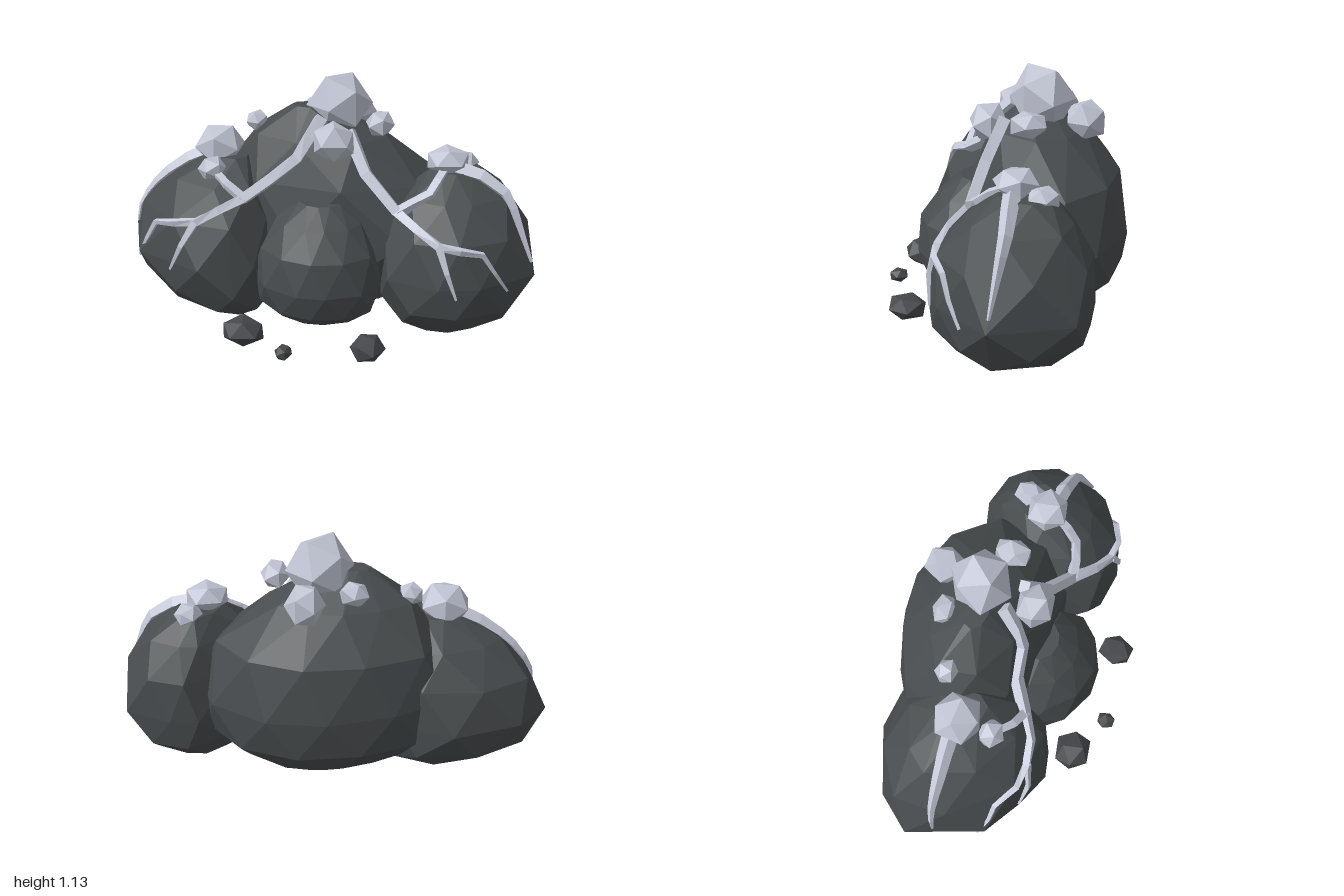
import * as THREE from 'three';
import { ConvexGeometry } from 'three/addons/geometries/ConvexGeometry.js';

const flat = (name, color) => {
  const m = new THREE.MeshStandardMaterial({ color, flatShading: true });
  m.name = name;
  return m;
};

// Boulder: a plan outline of [x, z] corners, shrunk and shifted by a rule towards its foot and its top.
// Every other level uses the middles of the outline's edges, so the facets are staggered.
function boulderGeometry({ plan, y, foot, top, crown }) {
  const corners = plan.map((p) => new THREE.Vector2(...p));
  const middles = corners.map((c, i) => c.clone().lerp(corners[(i + 1) % corners.length], 0.5));
  const mid = new THREE.Box2().setFromPoints(corners).getCenter(new THREE.Vector2());
  const waist = 0.4;
  const points = [];
  [0, 0.07, 0.2, waist, 0.66, 0.86, 1].forEach((t, i) => {
    const below = t < waist;
    const u = below ? 1 - t / waist : (t - waist) / (1 - waist);
    const scale = below ? 1 - 0.54 * u ** 3 : 1 - (1 - crown) * u ** 2.4;
    const centre = mid.clone().lerp(new THREE.Vector2(...(below ? foot : top)), u ** 2);
    for (const c of i % 2 ? corners : middles) {
      const q = c.clone().sub(mid).multiplyScalar(scale * (i % 2 ? 1 : 1.06)).add(centre);
      points.push(new THREE.Vector3(q.x, THREE.MathUtils.lerp(y[0], y[1], t), q.y));
    }
  });
  return new ConvexGeometry(points);
}

// Repeatable value in -1..1 from a direction, so shared corners move together
const hash = (v, seed) => {
  const s = Math.sin(Math.round(v.x * 100) * 12.99 + Math.round(v.y * 100) * 78.23
    + Math.round(v.z * 100) * 37.72 + seed * 4.1) * 43758.55;
  return (s - Math.floor(s)) * 2 - 1;
};

// Irregular twenty-sided gem with an edge on top, fitted to centre c and radii r
function gem(c, r, seed) {
  const geo = new THREE.IcosahedronGeometry(1, 0);
  const pos = geo.attributes.position;
  const v = new THREE.Vector3();
  for (let i = 0; i < pos.count; i++) {
    v.fromBufferAttribute(pos, i);
    v.multiplyScalar(1 + 0.06 * hash(v, seed));
    pos.setXYZ(i, v.x, v.y, v.z);
  }
  geo.rotateY(seed * 0.9);
  geo.center();
  geo.computeBoundingBox();
  const half = geo.boundingBox.max;
  geo.scale(r[0] / half.x, r[1] / half.y, r[2] / half.z);
  geo.translate(...c);
  geo.computeVertexNormals();
  return geo;
}

// Four-sided tube through points, thinning from r0 to r1
function veinGeometry(points, r0, r1) {
  const p = points.map((a) => new THREE.Vector3(...a));
  const core = new THREE.Vector3(0, 0.25, -0.15);
  const verts = [];
  const index = [];
  p.forEach((c, i) => {
    const t = p[Math.min(i + 1, p.length - 1)].clone().sub(p[Math.max(i - 1, 0)]).normalize();
    const side = t.clone().cross(c.clone().sub(core)).normalize();
    const out = side.clone().cross(t);
    const r = THREE.MathUtils.lerp(r0, r1, i / (p.length - 1));
    for (let k = 0; k < 4; k++) {
      const a = k * Math.PI / 2;
      const q = c.clone().addScaledVector(side, Math.cos(a) * r).addScaledVector(out, Math.sin(a) * r);
      verts.push(q.x, q.y, q.z);
      if (i === 0) continue;
      const b = i * 4, n = (k + 1) % 4;
      index.push(b - 4 + k, b - 4 + n, b + n, b - 4 + k, b + n, b + k);
    }
  });
  const e = (p.length - 1) * 4;
  index.push(0, 2, 1, 0, 3, 2, e, e + 1, e + 2, e, e + 2, e + 3);
  const geo = new THREE.BufferGeometry();
  geo.setAttribute('position', new THREE.Float32BufferAttribute(verts, 3));
  geo.setIndex(index);
  const result = geo.toNonIndexed();
  result.computeVertexNormals();
  return result;
}

export function createModel() {
  const model = new THREE.Group();
  model.name = 'crystalRockPile';
  const stone = flat('darkStone', 0x484c4e);
  const pebbleStone = flat('pebbleStone', 0x45474b);
  const crystal = flat('paleCrystal', 0xbfc3d2);
  const veinMat = flat('paleVein', 0xc6cad9);
  veinMat.side = THREE.DoubleSide;
  const add = (name, geo, mat) => {
    const mesh = new THREE.Mesh(geo, mat);
    mesh.name = name;
    model.add(mesh);
    return mesh;
  };

  // Boulders
  const boulder = (name, shape) => add(name, boulderGeometry(shape), stone);
  const boulders = [
    boulder('backBoulder', {
      plan: [[-0.56, -0.3], [-0.32, -0.46], [-0.03, -0.57], [0.24, -0.57], [0.5, -0.43], [0.61, -0.18], [0.4, 0.12], [-0.1, 0.18], [-0.48, 0.02]],
      y: [0.04, 0.985], foot: [0.02, -0.17], top: [-0.1, -0.14], crown: 0.14,
    }),
    boulder('rightBoulder', {
      plan: [[-1, -0.13], [-0.88, -0.3], [-0.58, -0.44], [-0.32, -0.36], [-0.24, 0], [-0.26, 0.27], [-0.5, 0.37], [-0.85, 0.21]],
      y: [0.01, 0.75], foot: [-0.48, 0.01], top: [-0.48, -0.06], crown: 0.28,
    }),
    boulder('leftBoulder', {
      plan: [[0.57, -0.41], [0.7, -0.42], [0.92, -0.34], [1, 0.02], [0.78, 0.24], [0.6, 0.3], [0.36, 0.24], [0.26, -0.05]],
      y: [0.01, 0.745], foot: [0.6, -0.04], top: [0.6, -0.12], crown: 0.32,
    }),
    boulder('frontBoulder', {
      plan: [[-0.29, 0.18], [-0.19, 0.34], [-0.02, 0.41], [0.11, 0.4], [0.26, 0.32], [0.32, 0.18], [0.22, -0.12], [-0.2, -0.12]],
      y: [0.01, 0.61], foot: [0, 0.06], top: [0.02, 0.11], crown: 0.34,
    }),
  ];

  // Loose pebbles: centre, radii
  [
    [[-0.265, 0.064, 0.425], [0.09, 0.062, 0.09]],
    [[0.315, 0.055, 0.43], [0.08, 0.054, 0.08]],
    [[-0.05, 0.032, 0.52], [0.042, 0.031, 0.042]],
  ].forEach(([c, r], i) => add('pebble' + (i + 1), gem(c, r, i + 2), pebbleStone));

  // Crystals: centre, radii
  [
    [[0.04, 0.99, -0.18], [0.148, 0.143, 0.152]],
    [[0.07, 0.88, 0.065], [0.09, 0.085, 0.09]],
    [[0.085, 0.9, -0.375], [0.09, 0.085, 0.085]],
    [[0.245, 0.925, -0.12], [0.07, 0.055, 0.08]],
    [[-0.365, 0.88, -0.17], [0.05, 0.045, 0.05]],
    [[-0.12, 0.915, -0.285], [0.068, 0.055, 0.058]],
    [[-0.515, 0.785, -0.055], [0.105, 0.095, 0.105]],
    [[-0.505, 0.715, 0.1], [0.065, 0.055, 0.065]],
    [[0.57, 0.785, -0.08], [0.09, 0.06, 0.1]],
    [[0.635, 0.745, -0.2], [0.065, 0.045, 0.065]],
  ].forEach(([c, r], i) => add(i ? 'crystal' + i : 'crownCrystal', gem(c, r, i + 1), crystal));

  // Veins follow the stone: points are split and lifted clear of the boulders
  model.updateMatrixWorld(true);
  const ray = new THREE.Raycaster();
  const lift = (p, dir) => {
    const d = new THREE.Vector3(...dir).normalize();
    const c = new THREE.Vector3(...p);
    ray.set(c.clone().addScaledVector(d, 2), d.clone().negate());
    const hit = ray.intersectObjects(boulders)[0];
    if (hit) c.addScaledVector(d, THREE.MathUtils.clamp(2 - hit.distance + 0.008, -0.03, 0.12));
    return c.toArray();
  };
  const vein = (name, points, r0, r1, dir) => {
    const fine = [];
    points.forEach((p, i) => {
      if (i) fine.push(points[i - 1].map((n, k) => (n + p[k]) / 2));
      fine.push(p);
    });
    add(name, veinGeometry(fine.map((p) => lift(p, dir)), r0, r1), veinMat);
  };

  const front = [0, 0.3, 1];
  vein('rightMainVein', [[-0.02, 0.96, -0.02], [-0.1, 0.8, 0.1], [-0.33, 0.6, 0.15]], 0.038, 0.031, front);
  vein('rightLowerVein', [[-0.33, 0.6, 0.15], [-0.53, 0.51, 0.27], [-0.75, 0.48, 0.25], [-0.86, 0.28, 0.2]], 0.03, 0.008, front);
  vein('rightForkVein', [[-0.53, 0.51, 0.27], [-0.66, 0.28, 0.33]], 0.024, 0.007, front);
  vein('rightLinkVein', [[-0.33, 0.6, 0.15], [-0.5, 0.7, 0.08]], 0.028, 0.022, front);
  vein('leftMainVein', [[0.12, 0.92, 0.02], [0.22, 0.75, 0.1], [0.38, 0.6, 0.16]], 0.038, 0.031, front);
  vein('leftLowerVein', [[0.38, 0.6, 0.16], [0.59, 0.5, 0.26], [0.78, 0.47, 0.24], [0.89, 0.27, 0.15]], 0.03, 0.008, front);
  vein('leftForkVein', [[0.59, 0.5, 0.26], [0.68, 0.27, 0.31]], 0.024, 0.007, front);
  vein('leftLinkVein', [[0.38, 0.6, 0.16], [0.52, 0.68, 0.1], [0.57, 0.77, -0.02]], 0.028, 0.024, front);
  vein('rightSideVein', [[-0.56, 0.76, -0.06], [-0.79, 0.65, -0.04], [-0.9, 0.53, -0.03], [-0.93, 0.36, -0.01]], 0.04, 0.007, [-1, 0.8, 0]);
  vein('leftSideVein', [[0.6, 0.78, -0.07], [0.85, 0.67, -0.05], [0.93, 0.53, -0.02], [0.98, 0.36, 0.01]], 0.042, 0.007, [1, 0.8, 0]);
  return model;
}
